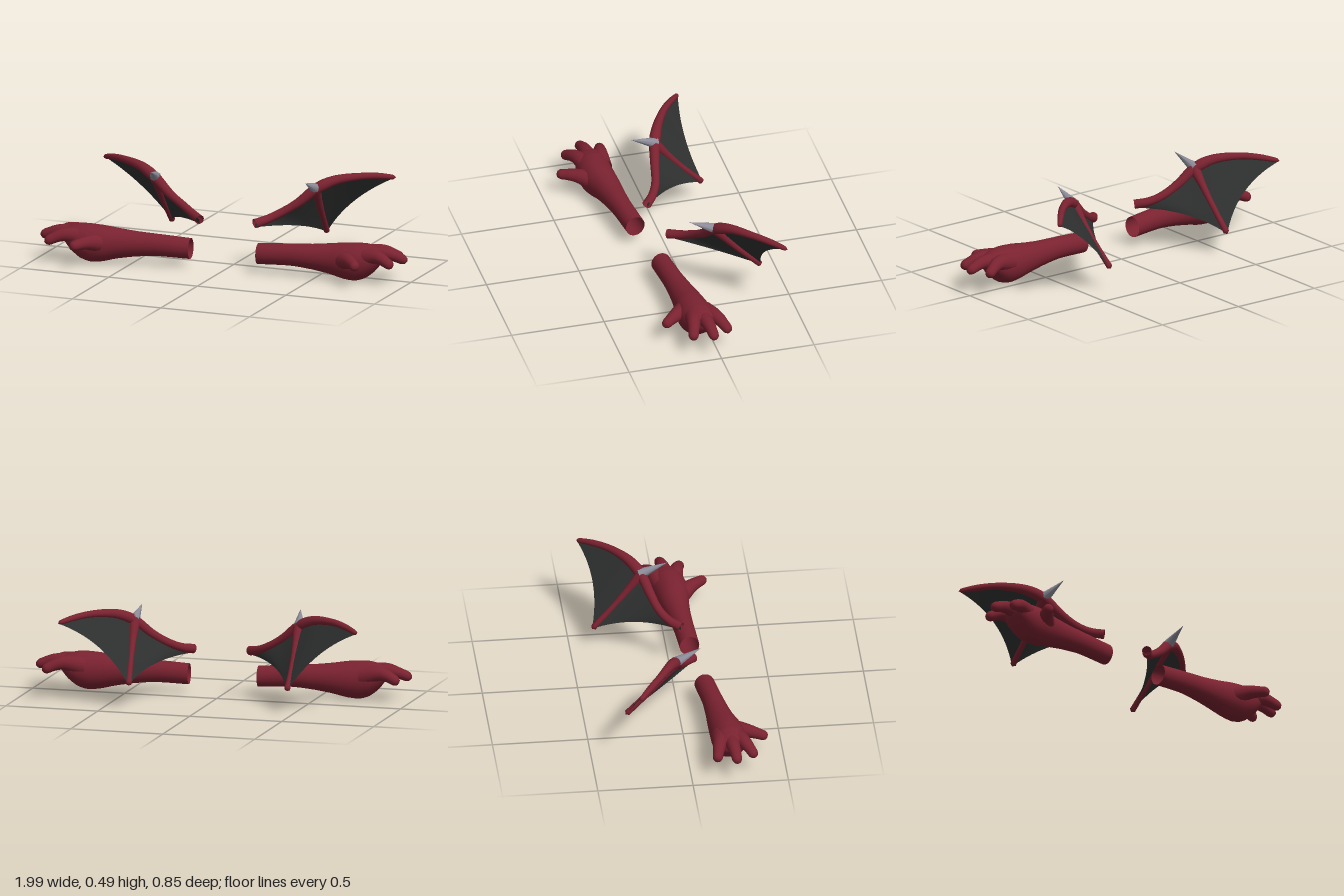
import * as THREE from 'three';
import { mergeVertices } from 'three/addons/utils/BufferGeometryUtils.js';

const paint = (color) => new THREE.MeshStandardMaterial({ color, side: THREE.DoubleSide });
const skin = paint(0x7a2230);
const webbing = paint(0x2e302f);
const horn = paint(0x8e8e9b);

const vec = (p) => new THREE.Vector3(...p);
const spline = (pts) => new THREE.CatmullRomCurve3(pts.map(vec));

function add(parent, name, geometry, material) {
  const mesh = new THREE.Mesh(geometry, material);
  mesh.name = name;
  parent.add(mesh);
  return mesh;
}

// Weld the seams so the shading runs smoothly round the part
function smooth(geometry) {
  geometry.deleteAttribute('uv');
  geometry.deleteAttribute('normal');
  const welded = mergeVertices(geometry, 1e-5);
  welded.computeVertexNormals();
  return welded;
}

// Surface through a grid of points: point(u, v) for u, v in 0..1
function surface(point, nu, nv) {
  const pos = [], index = [];
  for (let i = 0; i <= nu; i++) {
    for (let j = 0; j <= nv; j++) {
      pos.push(...point(i / nu, j / nv).toArray());
      if (i < nu && j < nv) {
        const a = i * (nv + 1) + j, b = a + nv + 1;
        index.push(a, a + 1, b, b, a + 1, b + 1);
      }
    }
  }
  const g = new THREE.BufferGeometry();
  g.setAttribute('position', new THREE.Float32BufferAttribute(pos, 3));
  g.setIndex(index);
  return smooth(g);
}

// Tube along a curve with changing radius and a rounded far end
function taperedTube(curve, radii, roundFrom, segments = 32, sides = 14) {
  const g = new THREE.TubeGeometry(curve, segments, 1, sides);
  const p = g.attributes.position, v = new THREE.Vector3();
  for (let i = 0; i < p.count; i++) {
    const u = Math.floor(i / (sides + 1)) / segments;
    const f = u * (radii.length - 1), k = Math.min(Math.floor(f), radii.length - 2);
    let r = THREE.MathUtils.lerp(radii[k], radii[k + 1], f - k);
    if (u > roundFrom) r *= Math.sqrt(Math.max(0, 1 - ((u - roundFrom) / (1 - roundFrom)) ** 2));
    const c = curve.getPointAt(u);
    v.fromBufferAttribute(p, i).sub(c).multiplyScalar(r).add(c);
    p.setXYZ(i, v.x, v.y, v.z);
  }
  return smooth(g);
}

function createArm() {
  const arm = new THREE.Group();
  arm.name = 'arm';

  // Forearm and palm: oval sections as [x, centre y, centre z, half height, half width]
  const sections = [
    [0.183, 0.105, 0.127, 0.055, 0.052], [0.36, 0.113, 0.132, 0.058, 0.054],
    [0.48, 0.111, 0.133, 0.067, 0.063], [0.58, 0.108, 0.135, 0.081, 0.075],
    [0.66, 0.104, 0.141, 0.096, 0.087], [0.72, 0.104, 0.142, 0.1, 0.092],
    [0.77, 0.111, 0.139, 0.093, 0.09], [0.82, 0.125, 0.136, 0.069, 0.08],
    [0.855, 0.14, 0.135, 0.04, 0.06], [0.87, 0.145, 0.135, 0.002, 0.003],
  ];
  const centres = spline(sections.map(([x, y, z]) => [x, y, z]));
  const sizes = spline(sections.map(([, , , h, w]) => [h, w, 0]));
  add(arm, 'forearm', surface((u, v) => {
    const c = centres.getPoint(u), s = sizes.getPoint(u), a = v * Math.PI * 2;
    return v === 1
      ? new THREE.Vector3(c.x, c.y, c.z + s.y)
      : new THREE.Vector3(c.x, c.y + s.x * Math.sin(a), c.z + s.y * Math.cos(a));
  }, 45, 28), skin);

  // Three fingers and a thumb
  const digits = {
    outerFinger: [[0.74, 0.13, 0.1], [0.85, 0.15, 0.066], [0.947, 0.113, 0.033]],
    middleFinger: [[0.74, 0.13, 0.135], [0.89, 0.153, 0.134], [0.998, 0.122, 0.134]],
    innerFinger: [[0.74, 0.13, 0.16], [0.85, 0.15, 0.2], [0.947, 0.113, 0.239]],
    thumb: [[0.65, 0.11, 0.165], [0.715, 0.127, 0.25], [0.778, 0.12, 0.338]],
  };
  for (const [name, path] of Object.entries(digits)) {
    add(arm, name, taperedTube(spline(path), [0.055, 0.046, 0.036, 0.029, 0.025], 0.87), skin);
  }
  return arm;
}

function createWing() {
  const wing = new THREE.Group();
  wing.name = 'wing';

  // Leading bone in two lengths that meet at the elbow
  const root = [0.15, 0.25, 0.075], elbow = [0.435, 0.418, -0.078];
  const tip = [0.793, 0.443, -0.347], strutTip = [0.42, 0.125, -0.343];
  const bone = [root, [0.2, 0.264, 0.025], [0.26, 0.292, -0.015], [0.35, 0.347, -0.047], elbow,
    [0.52, 0.459, -0.125], [0.634, 0.471, -0.203], [0.72, 0.462, -0.278], tip];
  add(wing, 'leadingBone', taperedTube(spline(bone),
    [0.025, 0.022, 0.022, 0.026, 0.03, 0.024, 0.019, 0.017, 0.012], 0.97, 64), skin);

  // Strut running down from the elbow
  const strut = spline([elbow, [0.43, 0.268, -0.205], strutTip]);
  add(wing, 'strut', taperedTube(strut, [0.03, 0.02, 0.016, 0.015, 0.016], 0.98), skin);

  // Webbing on each side of the strut, with a hollowed free edge
  const panel = (name, bonePoints, edge) => {
    const top = spline(bonePoints);
    const free = new THREE.QuadraticBezierCurve3(...edge.map(vec));
    add(wing, name, surface((u, v) => top.getPoint(u).lerp(free.getPoint(u), v), 24, 8), webbing);
  };
  panel('innerWebbing', bone.slice(0, 5), [[0.15, 0.23, 0.075], [0.355, 0.228, -0.126], strutTip]);
  panel('outerWebbing', bone.slice(4).reverse(), [tip, [0.555, 0.342, -0.266], strutTip]);

  // Spike at the elbow
  const from = vec([0.437, 0.42, -0.085]), to = vec([0.42, 0.483, 0.06]);
  const axis = to.clone().sub(from);
  const spike = add(wing, 'spike', new THREE.ConeGeometry(0.031, axis.length(), 8), horn);
  spike.position.copy(from).add(to).multiplyScalar(0.5);
  spike.quaternion.setFromUnitVectors(new THREE.Vector3(0, 1, 0), axis.normalize());
  return wing;
}

export function createModel() {
  const model = new THREE.Group();
  model.name = 'wingsAndArms';

  // Mirrored pairs, turned slightly together
  const pairs = new THREE.Group();
  pairs.name = 'pairs';
  for (const [name, side] of [['left', 1], ['right', -1]]) {
    const half = new THREE.Group();
    half.name = name + 'Side';
    half.scale.x = side;
    half.add(createArm(), createWing());
    pairs.add(half);
  }
  pairs.rotation.y = 0.105;
  pairs.position.x = -0.015;
  model.add(pairs);
  return model;
}
